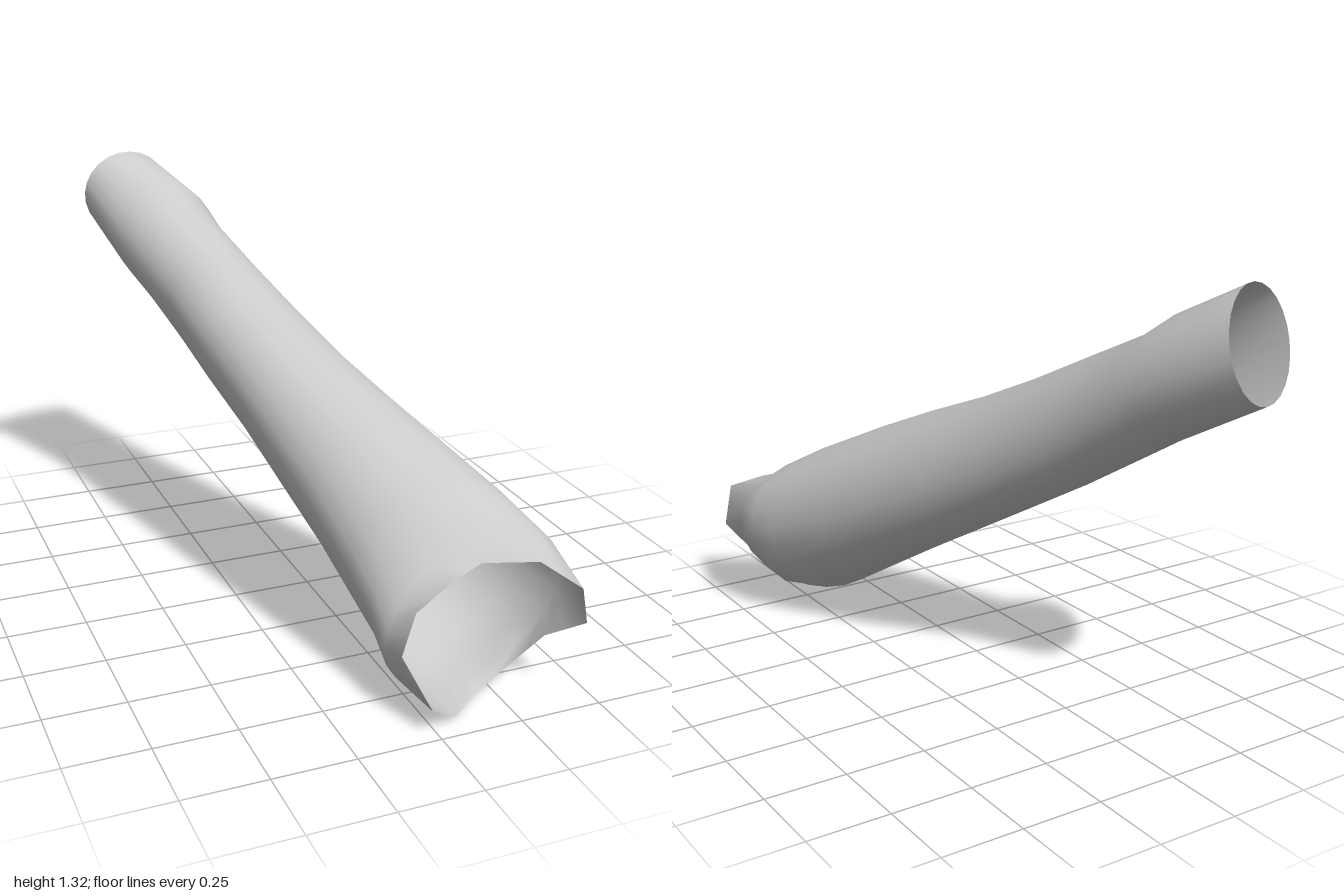
import * as THREE from 'three';

const SIDES = 24;

// Sleeve sections, back to front: z, left x, right x, bottom y, top y, skew
const sections = [
  [-0.70, -0.425, -0.065, 0.855, 1.235, -0.1],
  [-0.60, -0.38, -0.04, 0.79, 1.16, -0.1],
  [-0.40, -0.325, 0.035, 0.66, 1.06, -0.15],
  [-0.20, -0.285, 0.12, 0.54, 0.96, -0.2],
  [0.00, -0.24, 0.205, 0.42, 0.87, -0.24],
  [0.20, -0.20, 0.285, 0.305, 0.79, -0.2],
  [0.40, -0.15, 0.37, 0.185, 0.70, -0.13],
  [0.60, -0.105, 0.45, 0.07, 0.60, 0],
  [0.70, -0.085, 0.475, 0.04, 0.54, 0.13],
  [0.77, -0.075, 0.49, 0.02, 0.475, 0.33],
];

// Uneven front opening, every 30 degrees from the +x side
const frontRim = [
  [0.46, 0.25, 0.97], [0.42, 0.38, 1.0], [0.34, 0.43, 0.9], [0.2, 0.415, 0.82],
  [0.1, 0.39, 0.845], [-0.015, 0.315, 0.85], [-0.065, 0.2, 0.87], [-0.02, 0.08, 0.98],
  [0.07, 0.02, 0.94], [0.19, 0, 0.83], [0.31, 0.05, 0.8], [0.4, 0.16, 0.85],
];

// Skewed ellipse; tiltX and tiltY lean the ring along z
function ring([z, x0, x1, y0, y1, skew], tiltX = 0, tiltY = 0) {
  return Array.from({ length: SIDES }, (_, j) => {
    const t = (j / SIDES) * Math.PI * 2;
    return [
      (x0 + x1) / 2 + ((x1 - x0) / 2) * Math.cos(t),
      (y0 + y1) / 2 + ((y1 - y0) / 2) * Math.sin(t + skew),
      z + tiltX * Math.cos(t) + tiltY * Math.sin(t),
    ];
  });
}

// Joins rings into an open, smooth-shaded tube
function loft(rings) {
  const index = [];
  for (let i = 0; i < rings.length - 1; i++) {
    for (let j = 0; j < SIDES; j++) {
      const k = (j + 1) % SIDES;
      const a = i * SIDES + j, b = i * SIDES + k;
      index.push(a, b, a + SIDES, b, b + SIDES, a + SIDES);
    }
  }
  const geometry = new THREE.BufferGeometry();
  geometry.setAttribute('position', new THREE.Float32BufferAttribute(rings.flat(2), 3));
  geometry.setIndex(index);
  geometry.computeVertexNormals();
  return geometry;
}

export function createModel() {
  const group = new THREE.Group();
  group.name = 'sleeve';

  // Leaning round opening at the back
  const backRing = ring([-0.91, -0.49, -0.16, 1.01, 1.32, -0.15], -0.07, 0.065);

  // Front rim with midpoints between its corners
  const rimRing = frontRim.flatMap((p, i) => {
    const next = frontRim[(i + 1) % frontRim.length];
    return [p, p.map((v, n) => (v + next[n]) / 2)];
  });

  const rings = [backRing, ...sections.map((s) => ring(s)), rimRing];
  const tube = new THREE.Mesh(
    loft(rings),
    new THREE.MeshStandardMaterial({ color: 0xcccccc, side: THREE.DoubleSide })
  );
  tube.name = 'sleeveTube';
  group.add(tube);
  return group;
}
